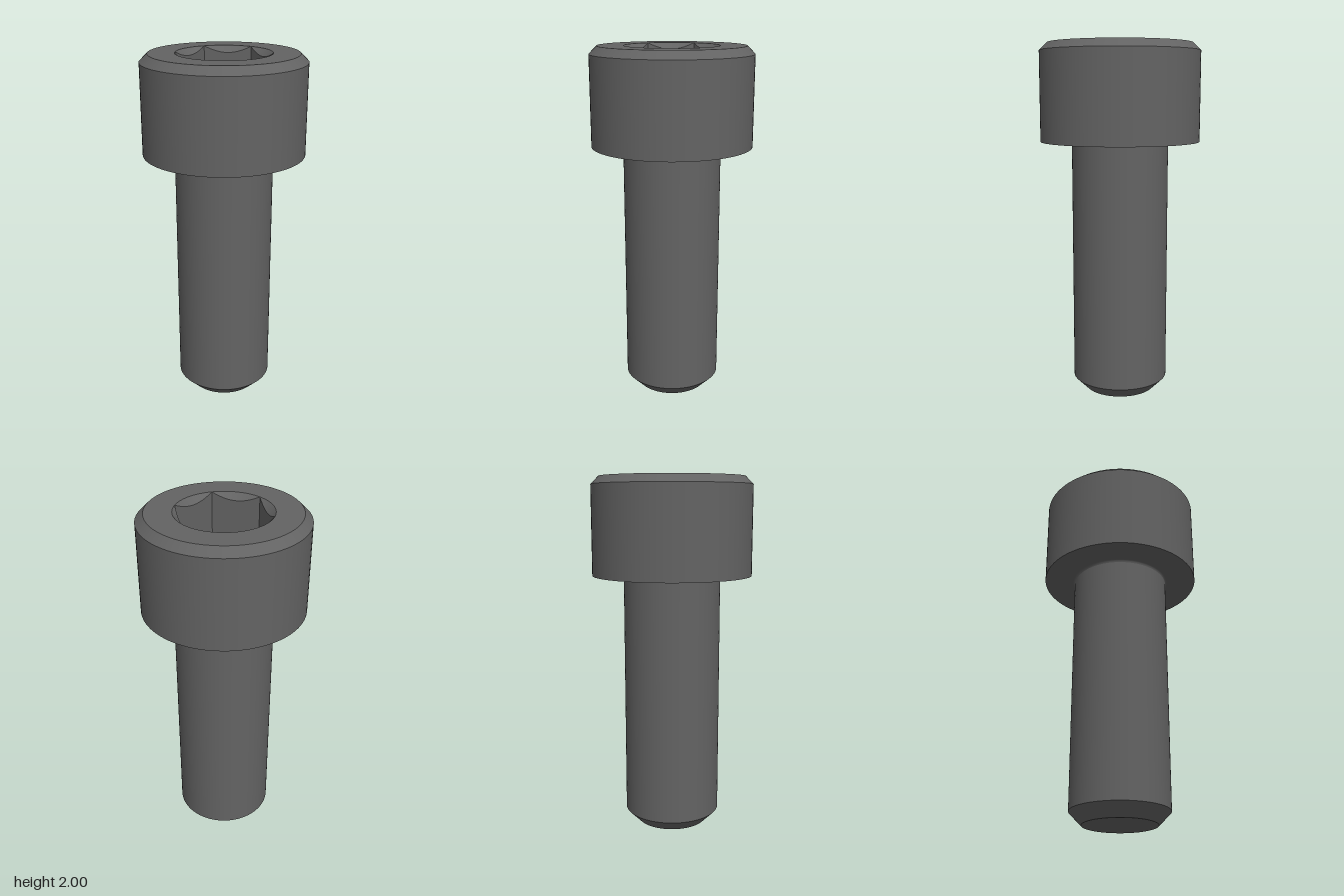
import * as THREE from 'three';

const SEG = 96; // divisible by 6 so the hexagon corners fall on segments

export function createModel() {
  const model = new THREE.Group();
  const steel = new THREE.MeshStandardMaterial({ color: 0x636363 });
  steel.name = 'dark steel';

  const add = (name, geometry) => {
    const mesh = new THREE.Mesh(geometry, steel);
    mesh.name = name;
    model.add(mesh);
  };
  // One smooth turned surface; separate surfaces keep the edges between them sharp
  const turn = (name, ...points) =>
    add(name, new THREE.LatheGeometry(points.map(([r, y]) => new THREE.Vector2(r, y)), SEG));

  // Shank with pointed end and a small fillet under the head
  turn('shankEnd', [0, 0], [0.204, 0]);
  turn('shankChamfer', [0.204, 0], [0.273, 0.07]);
  turn('shank', [0.273, 0.07], [0.273, 1.44]);
  turn('neckFillet', [0.273, 1.44], [0.275, 1.448], [0.279, 1.453], [0.286, 1.455]);

  // Cylindrical head
  turn('headUnderside', [0.286, 1.455], [0.45, 1.455]);
  turn('headSide', [0.45, 1.455], [0.45, 1.957]);
  turn('headChamfer', [0.45, 1.957], [0.406, 2]);
  turn('headTop', [0.406, 2], [0.261, 2]);

  // Hexagon socket: radius at an angle, with corners towards +z and -z
  const corner = 0.261;
  const hexRadius = (a) => {
    const third = Math.PI / 3;
    return (corner * Math.cos(third / 2)) / Math.cos((a % third) - third / 2);
  };
  const floorY = (r) => 1.727 - (corner - r) * Math.tan(Math.PI / 6);

  // Inward-facing band between an upper and a lower loop, each given as angle -> [radius, y]
  const band = (upper, lower) => {
    const pos = [], index = [];
    for (const loop of [upper, lower]) {
      for (let i = 0; i < SEG; i++) {
        const a = (i / SEG) * Math.PI * 2;
        const [r, y] = loop(a);
        pos.push(r * Math.sin(a), y, r * Math.cos(a));
      }
    }
    for (let i = 0; i < SEG; i++) {
      const j = (i + 1) % SEG;
      index.push(j, SEG + j, SEG + i, j, SEG + i, i);
    }
    const g = new THREE.BufferGeometry();
    g.setAttribute('position', new THREE.Float32BufferAttribute(pos, 3));
    g.setIndex(index);
    g.computeVertexNormals();
    return g;
  };

  const rim = () => [corner, 2];
  const wallTop = (a) => [hexRadius(a), 2 - (corner - hexRadius(a))];
  const wallBottom = (a) => [hexRadius(a), floorY(hexRadius(a))];
  const tip = () => [0, floorY(0)];

  add('socketChamfer', band(rim, wallTop));
  const walls = band(wallTop, wallBottom).toNonIndexed();
  walls.computeVertexNormals();
  add('socketWalls', walls);
  add('socketFloor', band(wallBottom, tip));

  return model;
}
